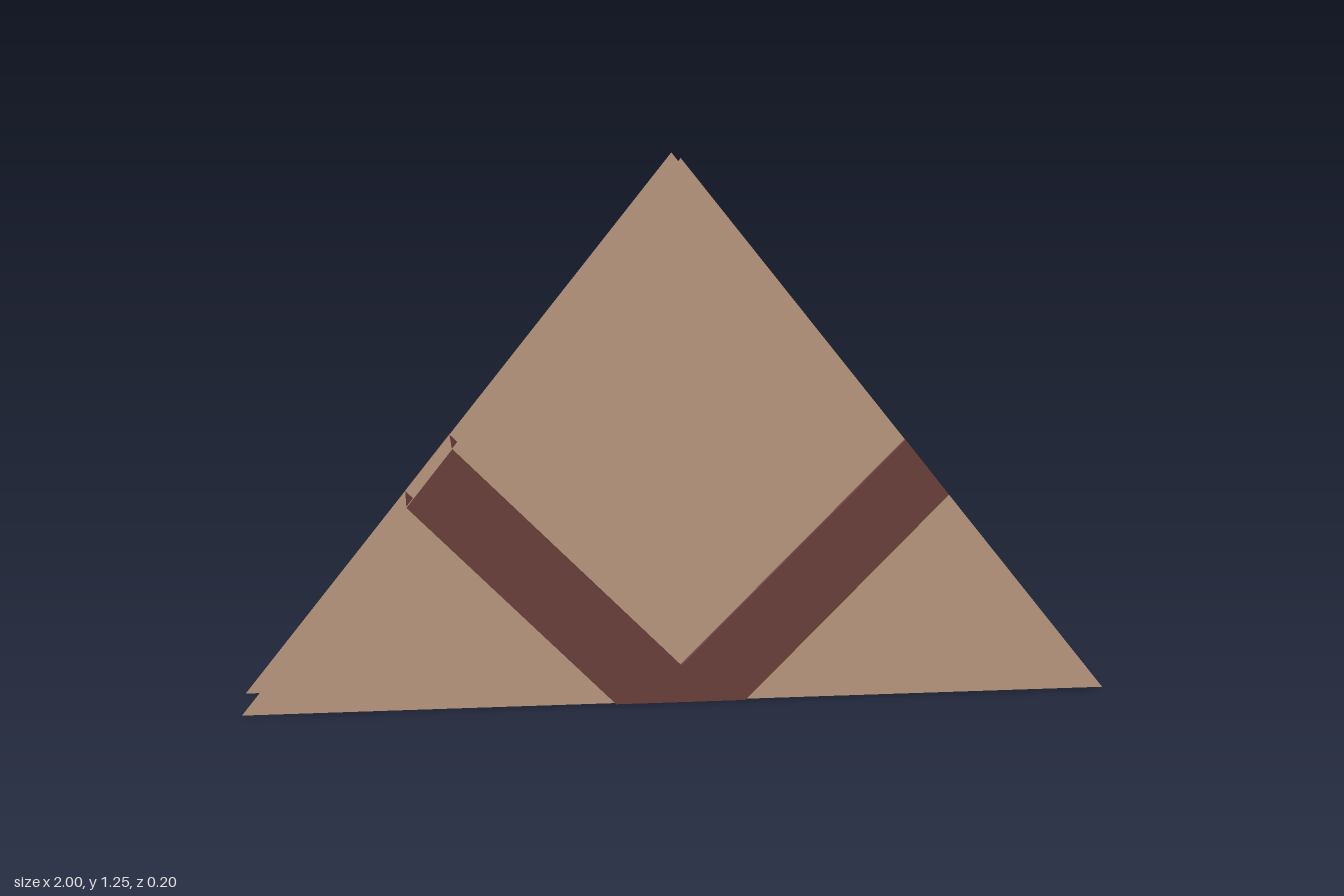
import * as THREE from 'three';

const tan = new THREE.MeshStandardMaterial({ color: 0xcda88d, side: THREE.DoubleSide });
tan.name = 'tan';
const brown = new THREE.MeshStandardMaterial({ color: 0x774843, side: THREE.DoubleSide });
brown.name = 'dark brown';

const PANEL_Z = 0.09; // triangular sheets
const BAND_Z = 0.1; // band stands slightly proud of them

function addMesh(parent, name, geometry, material) {
  const mesh = new THREE.Mesh(geometry, material);
  mesh.name = name;
  parent.add(mesh);
  return mesh;
}

// Flat sheet from an outline, facing outward on its side
function addSheet(parent, name, outline, z, material) {
  const shape = new THREE.Shape(outline.map(([x, y]) => new THREE.Vector2(x, y)));
  const sheet = addMesh(parent, name, new THREE.ShapeGeometry(shape), material);
  sheet.position.z = z;
  if (z < 0) sheet.rotation.y = Math.PI;
}

// Strip joining the two band faces along one edge
function addWall(parent, name, [x1, y1], [x2, y2]) {
  const wall = addMesh(parent, name,
    new THREE.PlaneGeometry(Math.hypot(x2 - x1, y2 - y1), 2 * BAND_Z), brown);
  wall.position.set((x1 + x2) / 2, (y1 + y2) / 2, 0);
  wall.rotation.set(-Math.PI / 2, 0, 0);
  wall.rotation.order = 'ZYX';
  wall.rotation.z = Math.atan2(y2 - y1, x2 - x1);
}

export function createModel() {
  const model = new THREE.Group();
  model.name = 'bandedTriangle';

  const triangle = [[-1, 0], [1, 0], [0, 1.25]];
  const band = [
    [-0.15, 0], [0.15, 0], [0.621, 0.473], [0.517, 0.604],
    [0, 0.087], [-0.517, 0.604], [-0.621, 0.473],
  ];

  // Front and back sheets
  for (const [side, s] of [['front', 1], ['back', -1]]) {
    addSheet(model, side + 'Panel', triangle, s * PANEL_Z, tan);
    addSheet(model, side + 'Band', band, s * BAND_Z, brown);
  }

  // Band walls; arm ends and base stay open
  for (const [side, s] of [['left', 1], ['right', -1]]) {
    addWall(model, side + 'LowerBandWall', [s * 0.15, 0], [s * 0.621, 0.473]);
    addWall(model, side + 'UpperBandWall', [0, 0.087], [s * 0.517, 0.604]);
  }

  return model;
}
